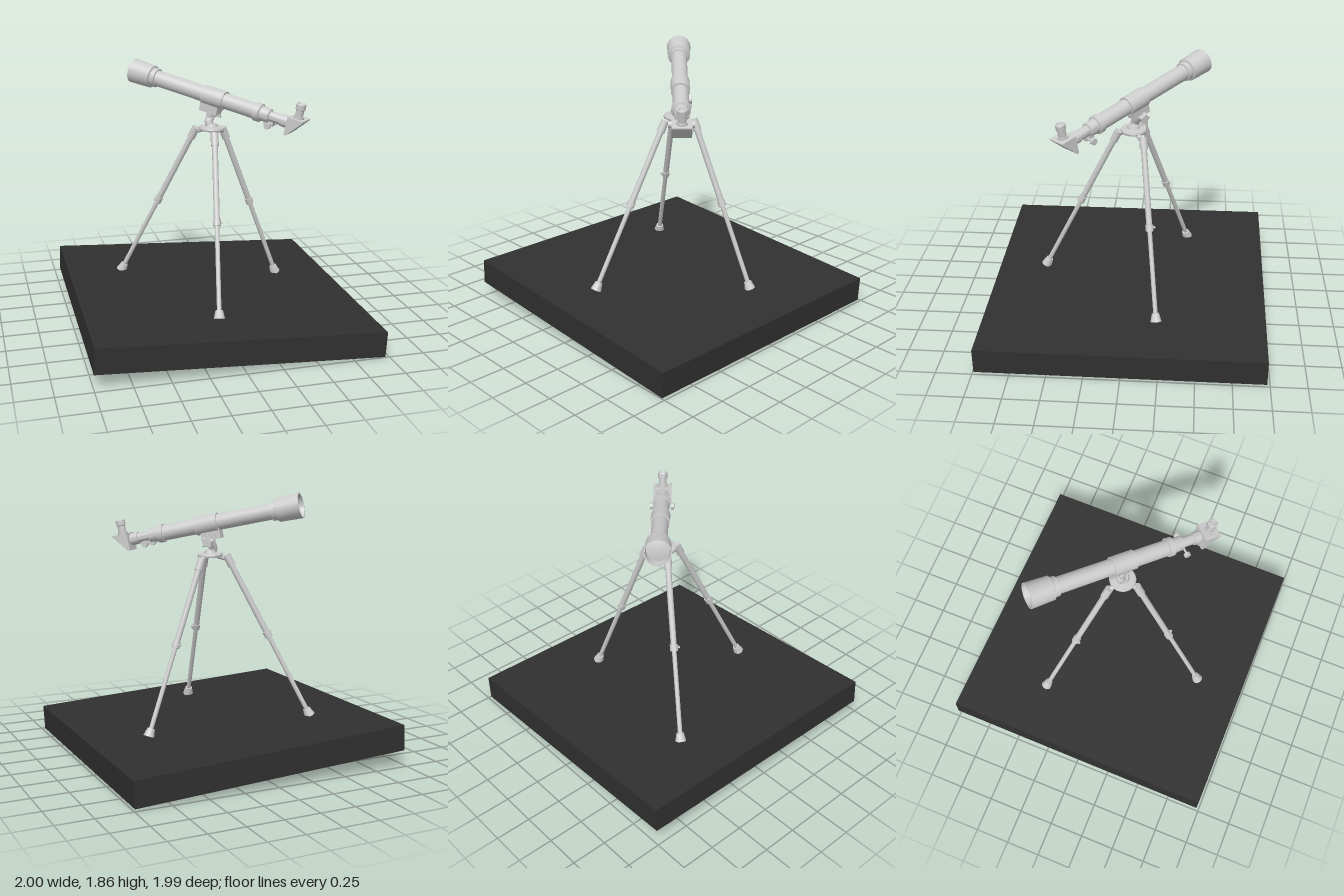
import * as THREE from 'three';
import { toCreasedNormals } from 'three/addons/utils/BufferGeometryUtils.js';

const V = (x, y, z) => new THREE.Vector3(x, y, z);
const grey = new THREE.MeshStandardMaterial({ color: 0xcccccc });
const dark = new THREE.MeshStandardMaterial({ color: 0x303030 });

function add(parent, name, geometry, material = grey) {
  const mesh = new THREE.Mesh(geometry, material);
  mesh.name = name;
  parent.add(mesh);
  return mesh;
}

// Turned part around y from [radius, height] pairs, bottom to top
function turned(pairs, sides = 32) {
  const profile = pairs.map(([r, h]) => new THREE.Vector2(r, h));
  return toCreasedNormals(new THREE.LatheGeometry(profile, sides), 0.5);
}

// Straight round rod between two points
function rod(parent, name, a, b, ra, rb = ra, sides = 16) {
  const mesh = add(parent, name, new THREE.CylinderGeometry(rb, ra, a.distanceTo(b), sides));
  mesh.position.copy(a).add(b).multiplyScalar(0.5);
  mesh.quaternion.setFromUnitVectors(V(0, 1, 0), b.clone().sub(a).normalize());
  return mesh;
}

// Optical tube: local z runs from the objective to the eyepiece, y is up
function makeTube() {
  const tube = new THREE.Group();
  tube.name = 'opticalTube';
  const d = V(0.717, -0.208, 0.665).normalize();
  const s = V(0, 1, 0).cross(d).normalize();
  const u = d.clone().cross(s);
  tube.quaternion.setFromRotationMatrix(new THREE.Matrix4().makeBasis(s, u, d));
  tube.position.set(-0.433, 1.775, -0.49);

  // Dew shield with recessed lens, main tube, end ring and draw tube
  const body = [
    [0, 0.05], [0.05, 0.054], [0.074, 0.06], [0.08, 0], [0.088, 0], [0.082, 0.165],
    [0.068, 0.17], [0.068, 0.205], [0.057, 0.208], [0.055, 1.01], [0.065, 1.01],
    [0.065, 1.05], [0.052, 1.055], [0.049, 1.12], [0.036, 1.125], [0.036, 1.21],
    [0.043, 1.21], [0.043, 1.265], [0.036, 1.275], [0, 1.275],
  ];
  add(tube, 'tubeBody', turned(body).rotateX(Math.PI / 2));
  const clamp = [[0.054, 0.6], [0.066, 0.6], [0.066, 0.765], [0.054, 0.765]];
  add(tube, 'tubeClamp', turned(clamp).rotateX(Math.PI / 2));

  // Diagonal prism, side profile pushed across the tube
  const side = new THREE.Shape([[1.27, 0.05], [1.27, -0.076], [1.285, -0.076], [1.385, 0.042], [1.385, 0.05]]
    .map(([t, v]) => new THREE.Vector2(-t, v)));
  const prism = new THREE.ExtrudeGeometry(side, { depth: 0.132, bevelEnabled: false });
  add(tube, 'diagonalPrism', prism.translate(0, 0, -0.066).rotateY(Math.PI / 2));

  // Eyepiece
  const eye = [
    [0.037, 0.045], [0.037, 0.062], [0.028, 0.062], [0.028, 0.108], [0.034, 0.112],
    [0.034, 0.148], [0.03, 0.154], [0.022, 0.154], [0.018, 0.145], [0, 0.145],
  ];
  add(tube, 'eyepiece', turned(eye, 24)).position.z = 1.325;

  // Focuser housing and its two knobs
  add(tube, 'focuserHousing', new THREE.BoxGeometry(0.04, 0.035, 0.07)).position.set(0, -0.045, 1.125);
  rod(tube, 'focuserShaft', V(-0.07, -0.05, 1.145), V(0.07, -0.05, 1.145), 0.008);
  for (const k of [-1, 1])
    rod(tube, 'focusKnob', V(k * 0.065, -0.05, 1.145), V(k * 0.088, -0.05, 1.145), 0.023, 0.023, 20);

  // Saddle under the clamp, pivot bolt and star knob
  add(tube, 'saddle', new THREE.BoxGeometry(0.075, 0.07, 0.14)).position.set(0, -0.077, 0.665);
  rod(tube, 'pivotBolt', V(-0.05, -0.12, 0.685), V(0.07, -0.12, 0.685), 0.022);
  const star = new THREE.Shape();
  for (let i = 0; i < 10; i++) {
    const r = i % 2 ? 0.027 : 0.046, a = i * Math.PI / 5;
    star[i ? 'lineTo' : 'moveTo'](r * Math.cos(a), r * Math.sin(a));
  }
  const starKnob = new THREE.ExtrudeGeometry(star, { depth: 0.018, bevelSize: 0.004, bevelThickness: 0.004, bevelSegments: 1 });
  add(tube, 'starKnob', starKnob.rotateY(Math.PI / 2)).position.set(0.06, -0.12, 0.685);
  return tube;
}

// Leg from hinge to foot: sleeve, upper tube, clamp with screw, lower tube, foot
function makeLeg(top, foot, hub) {
  const leg = new THREE.Group();
  leg.name = 'tripodLeg';
  const at = f => top.clone().lerp(foot, f);
  const out = V(foot.x - hub.x, 0, foot.z - hub.z).normalize();
  rod(leg, 'hingeLug', V(hub.x, hub.y - 0.005, hub.z).addScaledVector(out, 0.05), at(0.01), 0.018);
  rod(leg, 'legSleeve', at(-0.015), at(0.055), 0.028);
  rod(leg, 'upperTube', at(0.05), at(0.48), 0.021);
  rod(leg, 'legClamp', at(0.465), at(0.5), 0.028);
  const mid = at(0.482), across = V(out.z, 0, -out.x);
  rod(leg, 'clampScrew', mid, mid.clone().addScaledVector(across, 0.04), 0.009);
  rod(leg, 'lowerTube', at(0.48), at(0.97), 0.016);
  rod(leg, 'foot', at(1), at(0.955), 0.039, 0.026, 10);
  return leg;
}

export function createModel() {
  const model = new THREE.Group();
  model.name = 'telescopeOnBase';

  // Slightly tilted ground slab
  const slab = add(model, 'baseSlab', new THREE.BoxGeometry(1.975, 0.18, 1.975), dark);
  slab.position.y = 0.15;
  slab.rotation.set(0.004, -0.0075, -0.055);

  // Tripod head plate and curved neck
  const hub = V(0.03, 1.415, -0.027);
  const plate = add(model, 'headPlate', turned([[0, -0.012], [0.088, -0.012], [0.092, 0], [0.088, 0.012], [0.045, 0.016], [0.038, 0.035], [0, 0.035]]));
  plate.position.copy(hub);
  plate.rotation.z = -0.055;
  const path = new THREE.CatmullRomCurve3([V(0.022, 1.42, -0.025), V(0.012, 1.465, -0.035), V(0.032, 1.505, -0.047), V(0.045, 1.55, -0.045)]);
  add(model, 'neck', new THREE.TubeGeometry(path, 16, 0.03, 16));

  // Three legs: hinge point and foot point
  const legs = [
    [V(-0.075, 1.4, -0.09), V(-0.575, 0.27, -0.415)],
    [V(0.022, 1.385, 0.085), V(-0.092, 0.25, 0.64)],
    [V(0.135, 1.385, -0.1), V(0.59, 0.212, -0.222)],
  ];
  for (const [top, foot] of legs) model.add(makeLeg(top, foot, hub));

  model.add(makeTube());
  return model;
}
